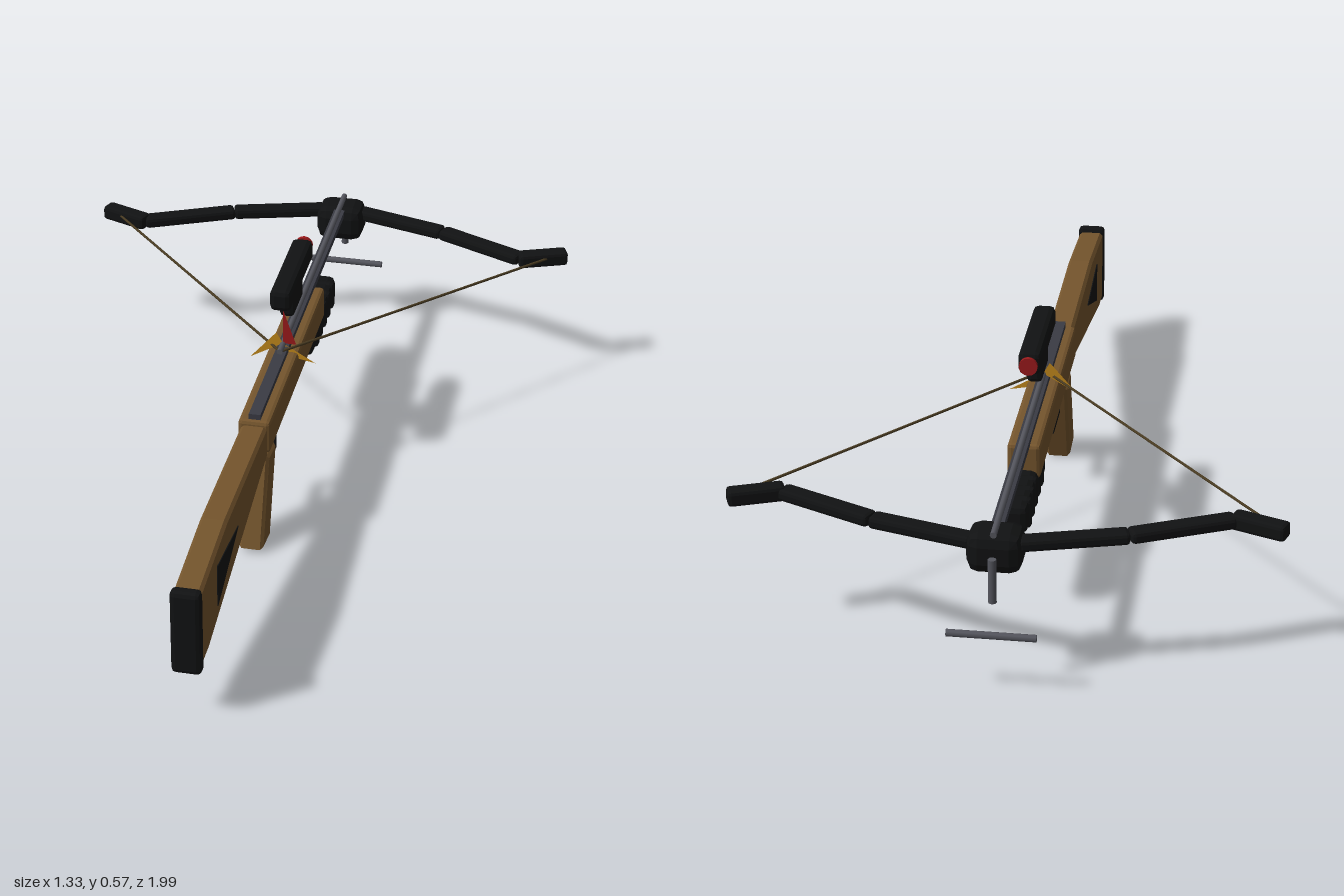
import * as THREE from 'three';
import { RoundedBoxGeometry } from 'three/addons/geometries/RoundedBoxGeometry.js';

export function createModel() {
  const model = new THREE.Group();
  model.name = 'crossbow';
  const mat = (name, color, extra = {}) => {
    const m = new THREE.MeshStandardMaterial({ color, ...extra });
    m.name = name;
    return m;
  };
  const wood = mat('wood', 0x75552d);
  const black = mat('black', 0x111213);
  const steel = mat('steel', 0x55565e);
  const darkSteel = mat('dark steel', 0x3a3b44);
  const maroon = mat('maroon', 0x3a141c);
  const cord = mat('cord', 0x4a3c22);
  const red = mat('red', 0x9c1a1c, { side: THREE.DoubleSide });
  const gold = mat('gold', 0xc48a1c, { side: THREE.DoubleSide });

  const add = (name, geometry, material, x = 0, y = 0, z = 0) => {
    const mesh = new THREE.Mesh(geometry, material);
    mesh.name = name;
    mesh.position.set(x, y, z);
    model.add(mesh);
    return mesh;
  };

  // Box with chamfered edges and flat faces
  const chamferBox = (w, h, d, r) => {
    const g = new RoundedBoxGeometry(w, h, d, 1, r);
    g.computeVertexNormals();
    return g;
  };

  // Side profile given as [z, y] points, extruded across x and centred
  const sideProfile = (points, width, bevel) => {
    const shape = new THREE.Shape(points.map(([z, y]) => new THREE.Vector2(-z, y)));
    const depth = width - 2 * bevel;
    const g = new THREE.ExtrudeGeometry(shape, {
      depth, bevelEnabled: bevel > 0, bevelThickness: bevel, bevelSize: bevel,
      bevelOffset: -bevel, bevelSegments: 1,
    });
    return g.translate(0, 0, -depth / 2).rotateY(Math.PI / 2);
  };

  // Round rod between two points
  const rod = (name, a, b, r, material, sides = 8) => {
    const from = new THREE.Vector3(...a), to = new THREE.Vector3(...b);
    const dir = to.clone().sub(from);
    const mesh = add(name, new THREE.CylinderGeometry(r, r, dir.length(), sides), material);
    mesh.position.copy(from).add(to).multiplyScalar(0.5);
    mesh.quaternion.setFromUnitVectors(new THREE.Vector3(0, 1, 0), dir.normalize());
    return mesh;
  };

  // Wooden body
  add('stock', sideProfile([[0.97, 0.352], [0.7, 0.375], [0.25, 0.362], [0.25, 0.272],
    [0.9, 0.147], [0.97, 0.147]], 0.066, 0.008), wood);
  add('forend', chamferBox(0.082, 0.092, 0.71, 0.01), wood, 0, 0.33, -0.095);
  add('grip', sideProfile([[0.23, 0.258], [0.14, 0.245], [0.215, 0.008], [0.305, 0.02]],
    0.064, 0.008), wood);
  add('buttPad', chamferBox(0.074, 0.23, 0.034, 0.012), black, 0, 0.25, 0.978);

  // Dark triangular inlay on each side of the stock
  for (const s of [-1, 1]) {
    add('stockInlay', sideProfile([[0.81, 0.32], [0.81, 0.207], [0.59, 0.288]], 0.004, 0),
      black, s * 0.0335);
  }

  // Trigger group under the body
  add('underStrip', new THREE.BoxGeometry(0.04, 0.012, 0.6), maroon, 0, 0.28, -0.06);
  add('guardBar', new THREE.BoxGeometry(0.022, 0.011, 0.125), black, 0, 0.17, 0.1);
  add('guardPost', new THREE.BoxGeometry(0.022, 0.062, 0.011), black, 0, 0.197, 0.044);
  add('trigger', new THREE.BoxGeometry(0.01, 0.055, 0.008), maroon, 0, 0.198, 0.126);

  // Ribbed front handle
  add('frontHandle', chamferBox(0.072, 0.076, 0.335, 0.018), black, 0, 0.27, -0.475);
  for (let i = 0; i < 5; i++) {
    add('handleRib', chamferBox(0.08, 0.082, 0.03, 0.012), black, 0, 0.27, -0.38 - i * 0.053);
  }

  // Rail and loaded bolt
  add('rail', new THREE.BoxGeometry(0.03, 0.018, 1.15), darkSteel, 0, 0.382, -0.325);
  rod('boltShaft', [0, 0.397, -0.05], [0, 0.397, -0.945], 0.008, steel);
  for (let i = 0; i < 3; i++) {
    const vane = new THREE.Shape([new THREE.Vector2(0, 0), new THREE.Vector2(0.035, 0),
      new THREE.Vector2(0, 0.1)]);
    const mesh = add('vane', new THREE.ShapeGeometry(vane), i ? gold : red, 0, 0.4, -0.092);
    mesh.rotation.z = i * Math.PI * 2 / 3;
  }

  // Sight
  add('sightMount', chamferBox(0.04, 0.07, 0.125, 0.012), black, 0, 0.487, -0.198);
  add('sightBody', chamferBox(0.056, 0.06, 0.3, 0.014), black, 0, 0.545, -0.2);
  rod('sightLens', [0, 0.547, -0.358], [0, 0.547, -0.368], 0.023, red, 16);

  // Riser, limbs and string
  add('riser', chamferBox(0.13, 0.1, 0.105, 0.028), black, 0, 0.346, -0.905);
  const limb = [[0.05, -0.915], [0.3, -0.845], [0.535, -0.738]];
  const limbPiece = (name, s, [x0, z0], [x1, z1], h, d) => {
    const dx = s * (x1 - x0), dz = z1 - z0;
    const mesh = add(name, chamferBox(Math.hypot(dx, dz), h, d, 0.009), black,
      s * (x0 + x1) / 2, 0.364, (z0 + z1) / 2);
    mesh.rotation.y = Math.atan2(-dz, dx);
  };
  for (const s of [-1, 1]) {
    limbPiece('limbInner', s, limb[0], limb[1], 0.03, 0.046);
    limbPiece('limbOuter', s, limb[1], limb[2], 0.03, 0.046);
    limbPiece('limbTip', s, [0.53, -0.733], [0.658, -0.782], 0.04, 0.044);
    rod('string', [s * 0.61, 0.37, -0.745], [0, 0.393, -0.06], 0.0035, cord, 6);
  }

  // Foot stirrup
  rod('stirrupPost', [0, 0.235, -0.966], [0, 0.347, -0.966], 0.01, steel);
  rod('stirrupBar', [-0.105, 0.161, -0.99], [0.105, 0.161, -0.99], 0.009, steel);

  return model;
}
